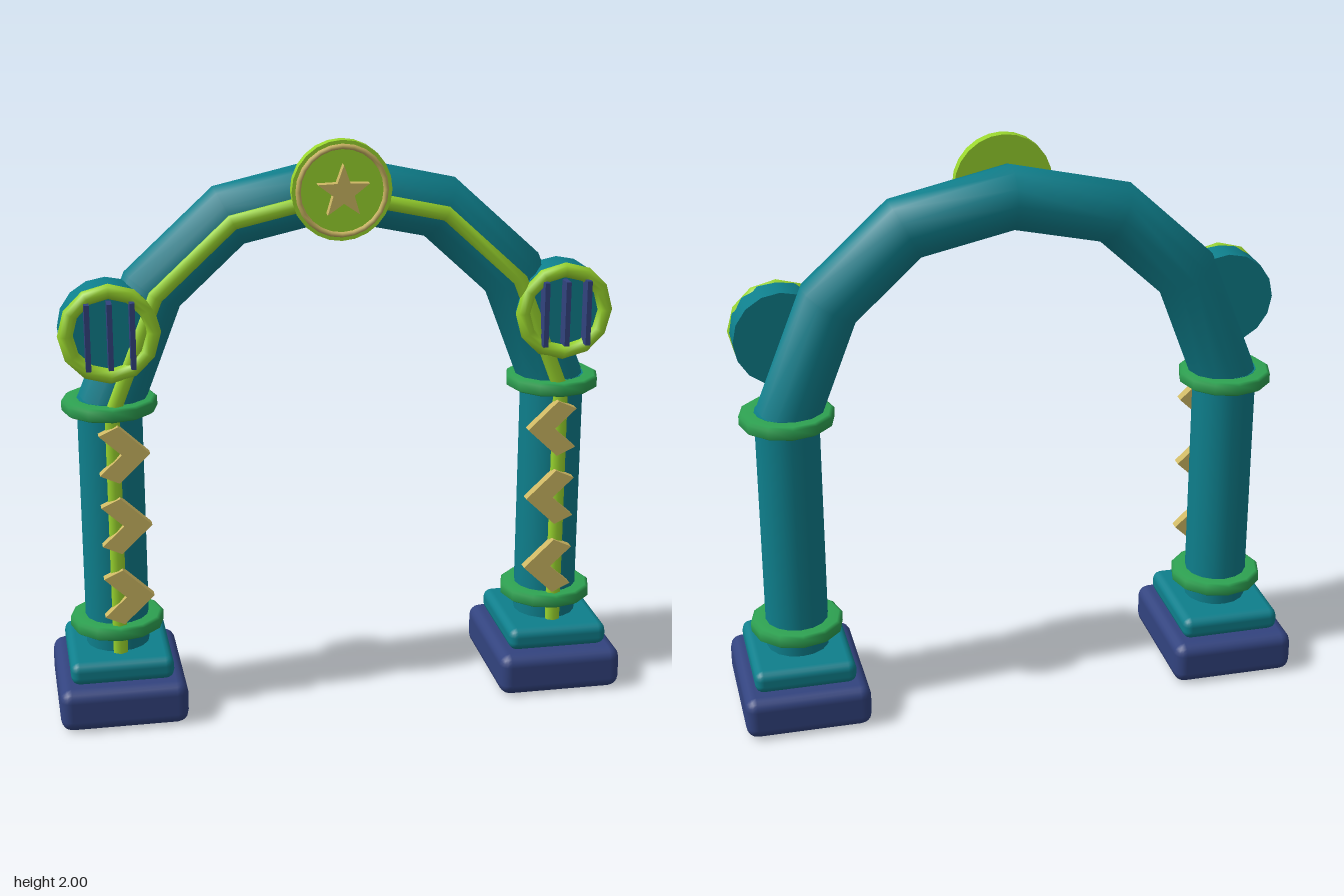
import * as THREE from 'three';
import { RoundedBoxGeometry } from 'three/addons/geometries/RoundedBoxGeometry.js';

const paint = (name, color) => {
  const m = new THREE.MeshStandardMaterial({ color });
  m.name = name;
  return m;
};

export function createModel() {
  const teal = paint('teal', 0x0e7f8c);
  const lime = paint('lime', 0x9ad62e);
  const navy = paint('navy', 0x32437f);
  const green = paint('green', 0x2ea352);
  const gold = paint('gold', 0xcdb763);

  const model = new THREE.Group();
  model.name = 'archway';

  const add = (parent, name, geometry, material, x = 0, y = 0, z = 0) => {
    const mesh = new THREE.Mesh(geometry, material);
    mesh.name = name;
    mesh.position.set(x, y, z);
    parent.add(mesh);
    return mesh;
  };

  const extrude = (points, depth) => new THREE.ExtrudeGeometry(
    new THREE.Shape(points.map(([x, y]) => new THREE.Vector2(x, y))),
    { depth, bevelEnabled: false });

  // Arch centre line; rings sit exactly on the listed points
  const half = [[0.775, 1.1], [0.62, 1.495], [0.36, 1.735]];
  const line = [...half.map(([x, y]) => [-x, y]), [0, 1.815], ...half.slice().reverse()];
  const path = new THREE.CatmullRomCurve3(line.map(([x, y]) => new THREE.Vector3(x, y, 0)));
  path.getPointAt = (t, target) => path.getPoint(t, target);
  path.getTangentAt = (t, target) => path.getTangent(t, target);
  add(model, 'archTube', new THREE.TubeGeometry(path, 6, 0.112, 12), teal);
  add(model, 'archTrim', new THREE.TubeGeometry(path, 6, 0.028, 6), lime, 0, 0, 0.107);

  // Flat collar with slightly eased edges
  const collar = new THREE.LatheGeometry(
    [[0.1, -0.024], [0.15, -0.024], [0.162, -0.016], [0.162, 0.016], [0.15, 0.024], [0.1, 0.024]]
      .map(([r, y]) => new THREE.Vector2(r, y)), 12);

  for (const side of [-1, 1]) {
    const leg = new THREE.Group();
    leg.name = side > 0 ? 'leftLeg' : 'rightLeg';
    leg.position.x = side * 0.775;
    model.add(leg);

    // Plinth and pillar
    add(leg, 'base', new RoundedBoxGeometry(0.44, 0.15, 0.51, 2, 0.04), navy, 0, 0.078, 0);
    add(leg, 'plinth', new RoundedBoxGeometry(0.355, 0.08, 0.41, 2, 0.03), teal, 0, 0.193, 0);
    add(leg, 'pillar', new THREE.CylinderGeometry(0.11, 0.11, 0.92, 16), teal, 0, 0.67, 0);
    add(leg, 'pillarTrim', new THREE.CylinderGeometry(0.028, 0.028, 0.89, 6), lime, 0, 0.665, 0.107);
    add(leg, 'lowerCollar', collar, green, 0, 0.313, 0);
    add(leg, 'upperCollar', collar, green, 0, 1.105, 0);

    // Chevrons pointing inwards
    const outline = [[-0.05, 0.07], [-0.05, 0.07], [0.015, 0.1], [0.12, 0], [0.015, -0.1], [-0.05, -0.07], [0.025, 0]]
      .slice(1).map(([x, y]) => [-side * x, y]);
    for (const y of [0.45, 0.71, 0.965]) {
      add(leg, 'chevron', extrude(outline, 0.035), gold, 0, y, 0.112);
    }

    // Round grille lamp
    const lamp = new THREE.Group();
    lamp.name = 'grilleLamp';
    lamp.position.y = 1.38;
    leg.add(lamp);
    const drum = add(lamp, 'lampDrum', new THREE.CylinderGeometry(0.165, 0.165, 0.11, 16), teal, 0, 0, 0.06);
    drum.rotation.x = Math.PI / 2;
    add(lamp, 'lampRing', new THREE.TorusGeometry(0.145, 0.026, 8, 12), lime, 0, 0, 0.12);
    for (const x of [-0.074, 0, 0.074]) {
      add(lamp, 'grilleBar', new THREE.BoxGeometry(0.017, 0.225, 0.06), navy, x, 0, 0.138);
    }
  }

  // Medallion at the crown
  const medallion = new THREE.Group();
  medallion.name = 'medallion';
  medallion.position.set(0, 1.831, 0);
  model.add(medallion);
  const disc = add(medallion, 'medallionDisc', new THREE.CylinderGeometry(0.168, 0.168, 0.036, 24), lime, 0, 0, 0.118);
  disc.rotation.x = Math.PI / 2;
  add(medallion, 'medallionRing', new THREE.TorusGeometry(0.147, 0.009, 6, 24), gold, 0, 0, 0.137);
  const star = Array.from({ length: 10 }, (_, i) => {
    const r = i % 2 ? 0.037 : 0.091;
    const a = Math.PI / 2 + i * Math.PI / 5;
    return [r * Math.cos(a), r * Math.sin(a)];
  });
  add(medallion, 'star', extrude(star, 0.035), gold, 0, 0, 0.133);

  return model;
}
